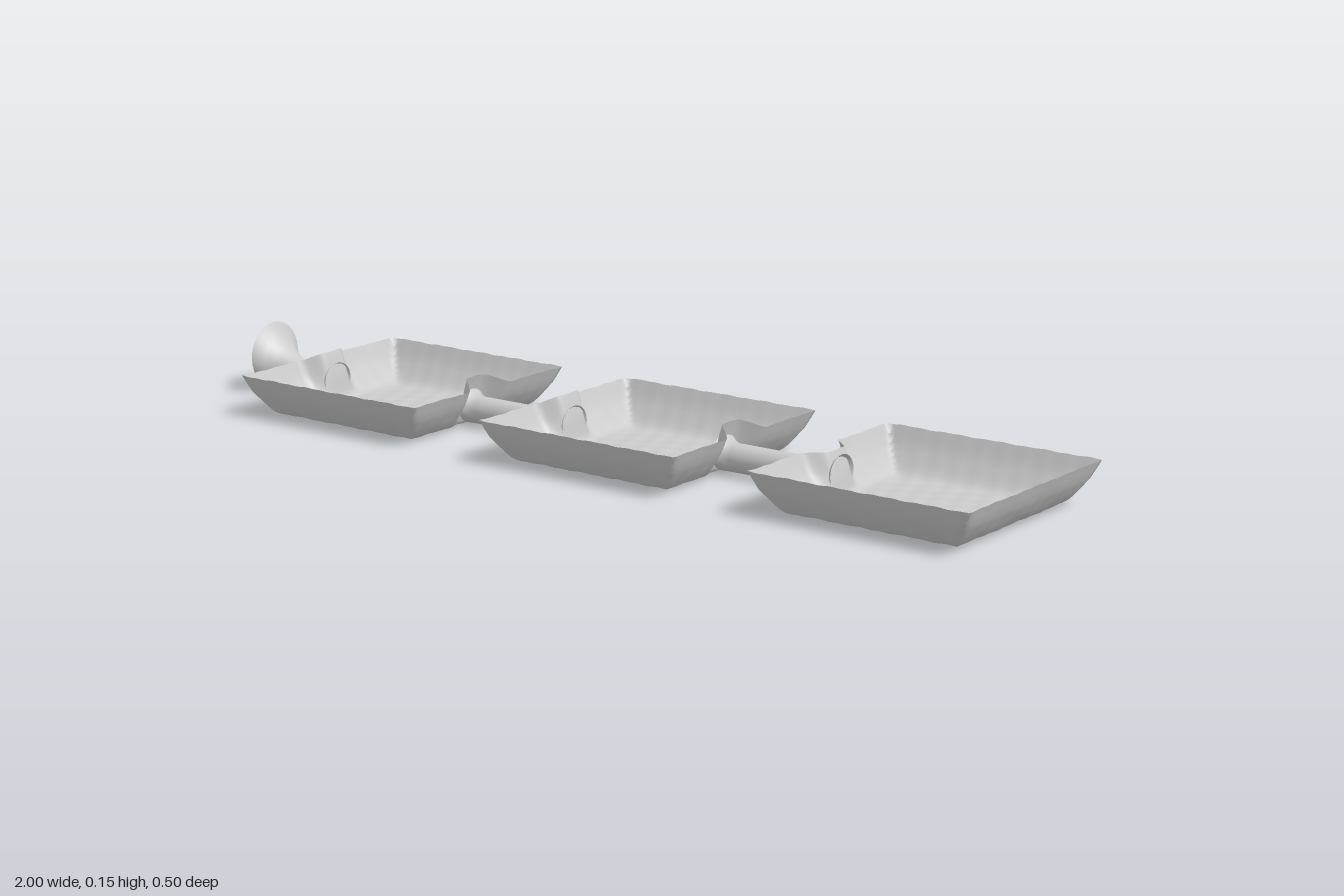
import * as THREE from 'three';
import { mergeVertices } from 'three/addons/utils/BufferGeometryUtils.js';

const material = new THREE.MeshStandardMaterial({ color: 0xcccccc, side: THREE.DoubleSide });
const { smoothstep, mapLinear } = THREE.MathUtils;

// Wall profile: [distance from tray centre, height]
const PROFILE = [[0, 0.005], [0.17, 0.005], [0.188, 0.007], [0.2, 0.013], [0.215, 0.031], [0.235, 0.061], [0.25, 0.096]];

function wallHeight(r) {
  const i = Math.max(1, PROFILE.findIndex(p => p[0] >= r - 1e-6));
  const [a, b] = [PROFILE[i - 1], PROFILE[i]];
  return mapLinear(r, a[0], b[0], a[1], b[1]);
}

// Thin square tray; each notch is { side, lift }, a cove in the rim around a pipe
function makeTray(name, cx, notches) {
  const geo = new THREE.PlaneGeometry(0.5, 0.5, 64, 64).rotateX(-Math.PI / 2);
  const pos = geo.attributes.position;
  for (let i = 0; i < pos.count; i++) {
    let x = pos.getX(i);
    const z = pos.getZ(i);
    const r = Math.max(Math.abs(x), Math.abs(z));
    // faint hammered surface
    const ripple = 0.0012 * Math.sin(95 * x + 40 * z) * Math.sin(80 * z - 35 * x + 1);
    let y = wallHeight(r) + ripple;
    for (const { side, lift } of notches) {
      if (x * side < 0.1) continue;
      const bump = (1 - smoothstep(Math.abs(z), 0.025, 0.07)) * smoothstep(r, 0.17, 0.25);
      x -= side * 0.04 * bump;
      y += lift * bump;
    }
    pos.setXYZ(i, x, y, z);
  }
  geo.computeVertexNormals();
  const mesh = new THREE.Mesh(geo, material);
  mesh.name = name;
  mesh.position.x = cx;
  return mesh;
}

// Open pipe along x through sections [x, half width, top height], flat along y = 0.01
function makePipe(name, sections) {
  const n = sections.length - 1;
  const geo = new THREE.CylinderGeometry(1, 1, n, 28, n, true);
  const pos = geo.attributes.position;
  for (let i = 0; i < pos.count; i++) {
    const [x, w, top] = sections[Math.round(pos.getY(i) + n / 2)];
    const h = (top - 0.01) / 2;
    pos.setXYZ(i, x, 0.01 + h - pos.getX(i) * h, pos.getZ(i) * w);
  }
  geo.deleteAttribute('uv');
  geo.deleteAttribute('normal');
  const smooth = mergeVertices(geo, 1e-5);
  smooth.computeVertexNormals();
  const mesh = new THREE.Mesh(smooth, material);
  mesh.name = name;
  return mesh;
}

// Connecting pipe that widens slightly where it meets each tray wall
function makeLink(name, a, b) {
  const flare = [[0, 0.042, 0.088], [0.012, 0.034, 0.078], [0.03, 0.028, 0.071]];
  return makePipe(name, [
    ...flare.map(([d, w, t]) => [a + d, w, t]),
    ...flare.toReversed().map(([d, w, t]) => [b - d, w, t]),
  ]);
}

export function createModel() {
  const group = new THREE.Group();
  const left = { side: 1, lift: 0.018 };
  const right = { side: -1, lift: 0.018 };

  group.add(
    makeTray('firstTray', -0.61, [left, right]),
    makeTray('middleTray', 0.07, [left, right]),
    makeTray('lastTray', 0.75, [{ side: -1, lift: 0 }]),
    makeLink('firstLink', -0.414, -0.126),
    makeLink('secondLink', 0.266, 0.554),
    // Flared inlet at the far end
    makePipe('inletSpout', [
      [-1, 0.075, 0.157], [-0.993, 0.069, 0.143], [-0.98, 0.058, 0.122], [-0.965, 0.046, 0.108],
      [-0.945, 0.036, 0.094], [-0.92, 0.029, 0.081], [-0.89, 0.026, 0.072], [-0.85, 0.027, 0.07],
      [-0.825, 0.034, 0.077], [-0.806, 0.042, 0.088],
    ]),
  );
  return group;
}
